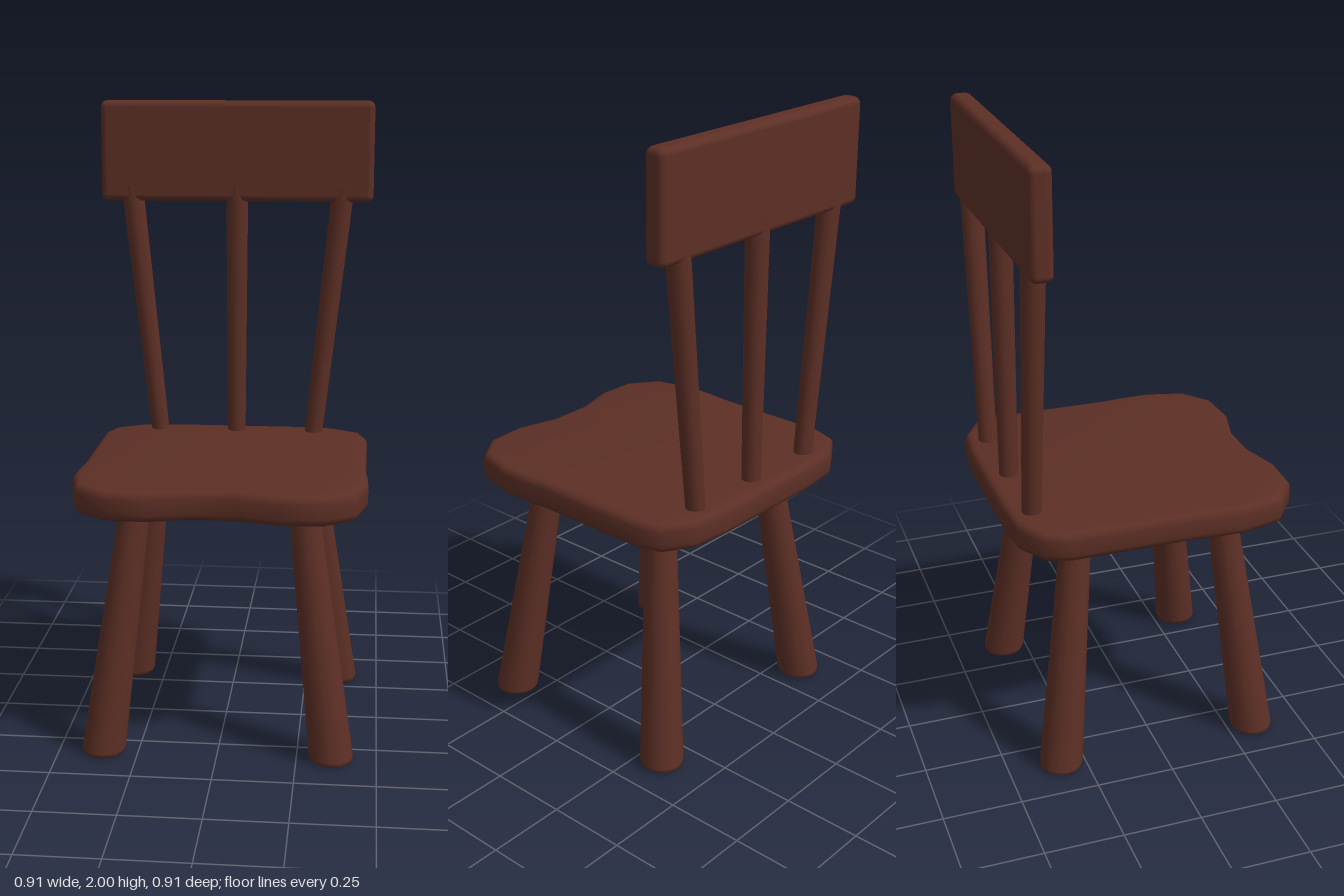
import * as THREE from 'three';
import { toCreasedNormals } from 'three/addons/utils/BufferGeometryUtils.js';
import { RoundedBoxGeometry } from 'three/addons/geometries/RoundedBoxGeometry.js';

const wood = new THREE.MeshStandardMaterial({ color: 0x5c2f25 });
wood.name = 'dark brown wood';

function addPart(parent, name, geometry) {
  const mesh = new THREE.Mesh(geometry, wood);
  mesh.name = name;
  parent.add(mesh);
  return mesh;
}

// Round post from a profile of [radius, height], leaning by dx, dz per unit height
function leaningPost(profile, x, z, dx, dz) {
  const points = profile.map(([r, y]) => new THREE.Vector2(r, y));
  const geometry = new THREE.LatheGeometry(points, 16);
  const shear = new THREE.Matrix4().set(
    1, dx, 0, x,
    0, 1, 0, 0,
    0, dz, 1, z,
    0, 0, 0, 1
  );
  return geometry.applyMatrix4(shear);
}

// Seat slab: half outline as [x, z], mirrored, with rounded rims
function seatGeometry() {
  const half = [
    [0.07, 0.415], [0.2, 0.451], [0.33, 0.445], [0.425, 0.373], [0.457, 0.245],
    [0.456, 0.16], [0.449, 0.08], [0.45, -0.31], [0.425, -0.385], [0.33, -0.443], [0.2, -0.455],
  ];
  const mirrored = half.map(([x, z]) => [-x, z]).reverse();
  const shape = new THREE.Shape([...half, ...mirrored].map(([x, z]) => new THREE.Vector2(x, z)));
  const bevel = 0.024, top = 0.885, bottom = 0.79;
  const geometry = new THREE.ExtrudeGeometry(shape, {
    depth: top - bottom - 2 * bevel,
    bevelEnabled: true, bevelThickness: bevel, bevelSize: bevel, bevelOffset: -bevel, bevelSegments: 3,
  });
  geometry.rotateX(Math.PI / 2).translate(0, top - bevel, 0);
  return toCreasedNormals(geometry, 0.9);
}

export function createModel() {
  const chair = new THREE.Group();
  chair.name = 'chair';

  addPart(chair, 'seat', seatGeometry());

  // Four splayed legs, thicker at the foot
  const legProfile = [[0, 0], [0.057, 0], [0.066, 0.006], [0.069, 0.018], [0.047, 0.82]];
  for (const [zName, sz] of [['front', 1], ['back', -1]]) {
    for (const [xName, sx] of [['Left', 1], ['Right', -1]]) {
      addPart(chair, `${zName}${xName}Leg`,
        leaningPost(legProfile, sx * 0.36, sz * 0.331, sx * -0.124, sz * -0.115));
    }
  }

  // Three spindles fanning out towards the backrest
  const spindleProfile = [[0.03, 0.85], [0.037, 1.72]];
  for (const [name, side] of [['left', 1], ['middle', 0], ['right', -1]]) {
    addPart(chair, `${name}Spindle`,
      leaningPost(spindleProfile, side * 0.172, -0.38, side * 0.106, 0));
  }

  // Backrest board
  const board = addPart(chair, 'backrest', new RoundedBoxGeometry(0.908, 0.33, 0.07, 3, 0.022));
  board.position.set(0, 1.835, -0.38);

  return chair;
}
